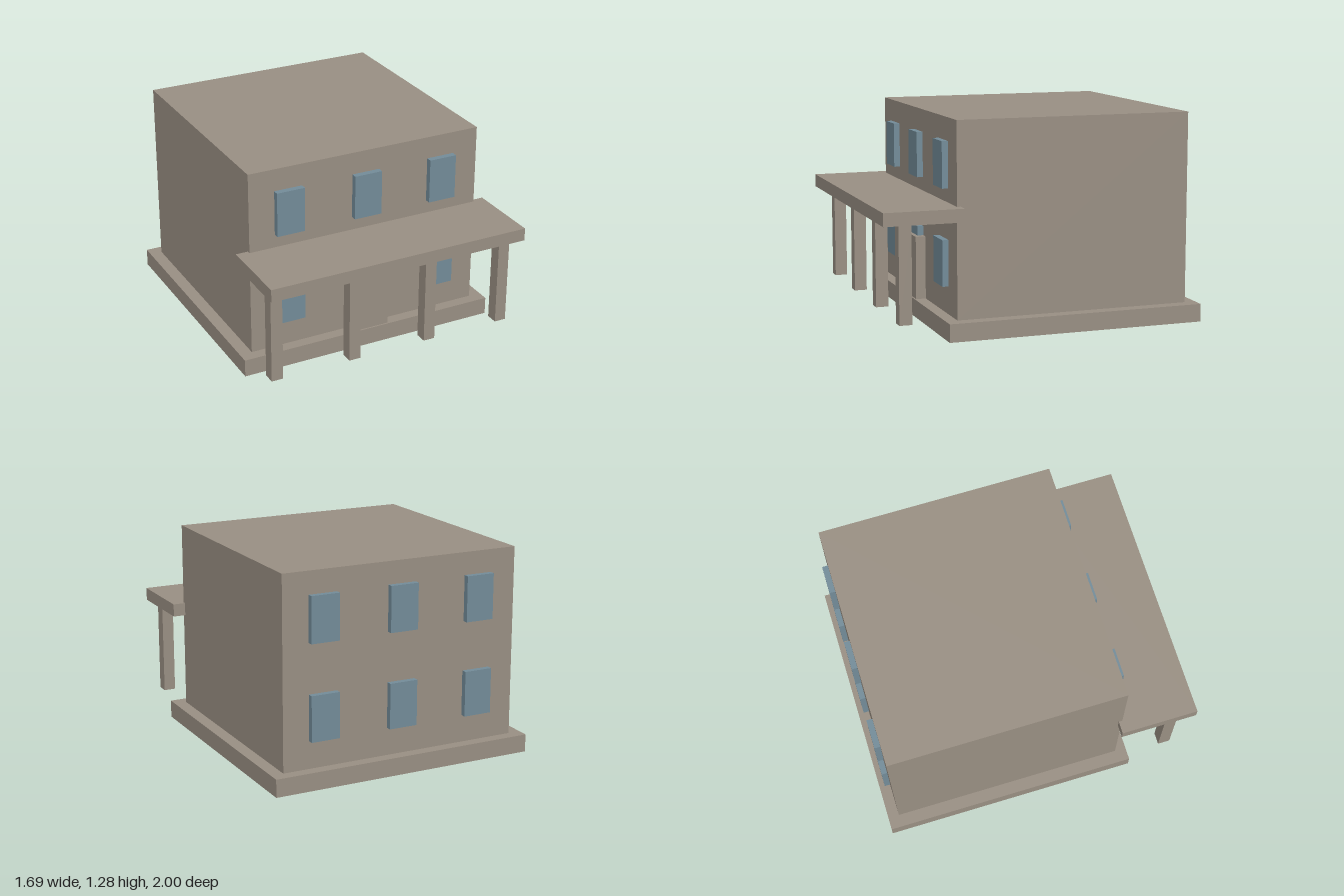
import * as THREE from 'three';

export function createModel() {
  const house = new THREE.Group();
  house.name = 'house';
  const stone = new THREE.MeshStandardMaterial({ color: 0x998f83 });
  stone.name = 'stone';
  const glass = new THREE.MeshStandardMaterial({ color: 0x738c99 });
  glass.name = 'window glass';

  // Box given by its extents along each axis
  function box(name, material, [x0, x1], [y0, y1], [z0, z1]) {
    const mesh = new THREE.Mesh(new THREE.BoxGeometry(x1 - x0, y1 - y0, z1 - z0), material);
    mesh.position.set((x0 + x1) / 2, (y0 + y1) / 2, (z0 + z1) / 2);
    mesh.name = name;
    house.add(mesh);
  }

  // Main masses
  box('foundation', stone, [-0.845, 0.845], [0, 0.11], [-1, 0.61]);
  box('walls', stone, [-0.767, 0.767], [0.11, 1.285], [-0.93, 0.538]);
  box('door', stone, [-0.133, 0.133], [0.11, 0.502], [0.53, 0.6]);

  // Porch roof and its four posts
  box('porchRoof', stone, [-0.845, 0.845], [0.702, 0.782], [0.515, 1]);
  for (const x of [-0.768, -0.256, 0.256, 0.768]) {
    box('porchPost', stone, [x - 0.037, x + 0.037], [0.115, 0.702], [0.823, 0.9]);
  }

  // Two rows of three windows, front and back
  for (const y of [0.28, 0.866]) {
    for (const x of [-0.512, 0, 0.512]) {
      box('frontWindow', glass, [x - 0.09, x + 0.09], [y, y + 0.28], [0.53, 0.576]);
      box('backWindow', glass, [x - 0.09, x + 0.09], [y, y + 0.28], [-0.966, -0.92]);
    }
  }
  return house;
}
